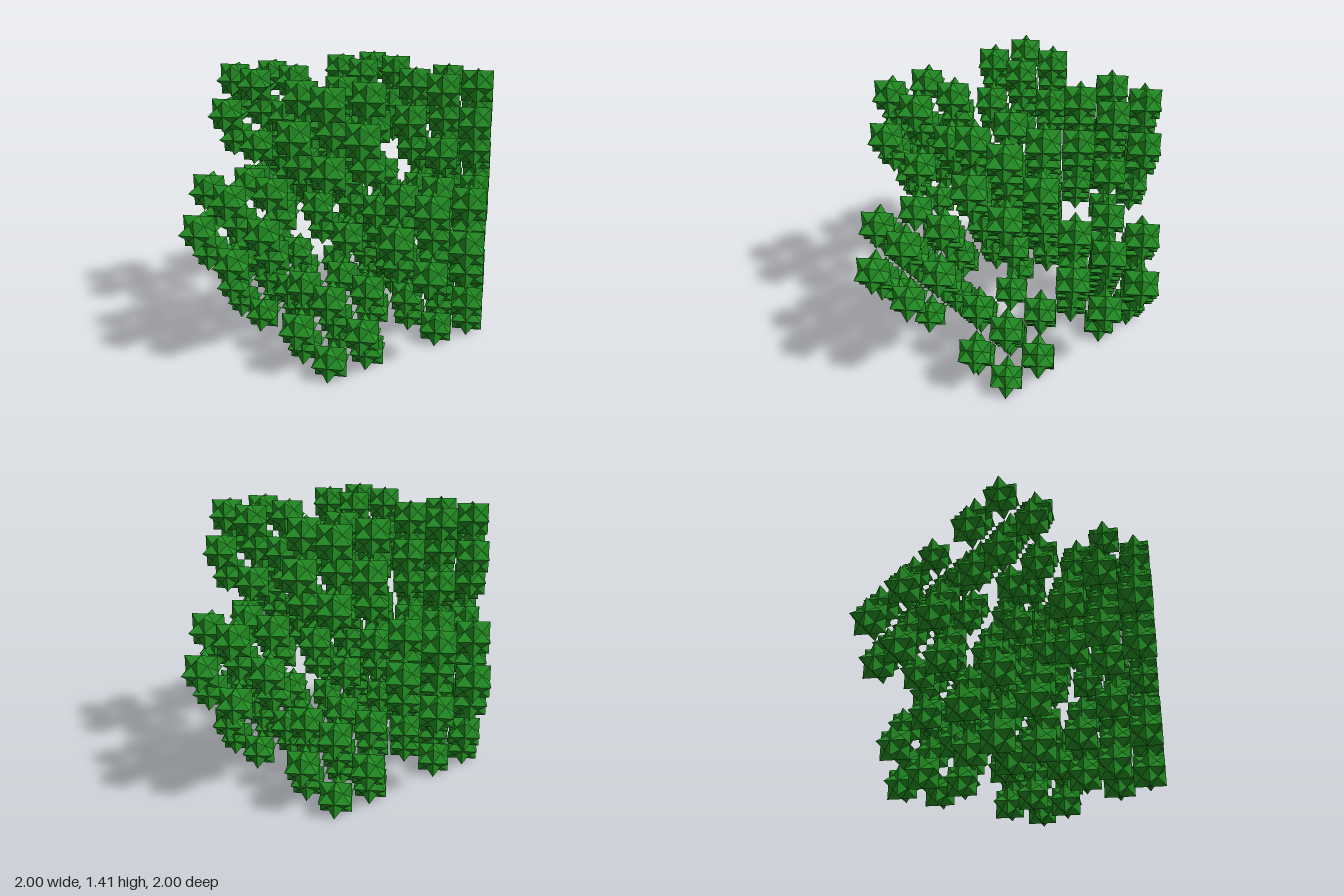
import * as THREE from 'three';

const SIGNS = [1, -1];
const AXES = [0, 1, 2];

// Point in the unit cube frame -> cuboctahedron of radius 1 with a vertex on +x
function place(p) {
  return new THREE.Vector3(...p).multiplyScalar(Math.SQRT1_2)
    .applyAxisAngle(new THREE.Vector3(0, 1, 0), Math.PI / 4);
}

// Cell: three crossed square bipyramids; 48 triangles, one rule per axis order and octant
function cellGeometry() {
  const pos = [];
  for (const a of AXES) for (const b of AXES) {
    if (a === b) continue;
    for (const sx of SIGNS) for (const sy of SIGNS) for (const sz of SIGNS) {
      const s = [sx, sy, sz];
      const apex = [0, 0, 0], tip = [0, 0, 0];
      apex[a] = tip[a] = s[a];
      tip[b] = s[b];
      const pit = s.map(v => v / 2);
      let [p, q, r] = [apex, tip, pit].map(place);
      const normal = q.clone().sub(p).cross(r.clone().sub(p));
      if (normal.dot(p) < 0) [q, r] = [r, q]; // keep faces outward
      for (const v of [p, q, r]) pos.push(v.x, v.y, v.z);
    }
  }
  const geo = new THREE.BufferGeometry();
  geo.setAttribute('position', new THREE.Float32BufferAttribute(pos, 3));
  geo.computeVertexNormals();
  return geo;
}

// Centre plus the 12 cuboctahedron corners
function childCentres() {
  const list = [new THREE.Vector3()];
  for (const a of AXES) for (const s of SIGNS) for (const t of SIGNS) {
    const p = [0, 0, 0];
    p[a] = s;
    p[(a + 1) % 3] = t;
    list.push(place(p));
  }
  return list;
}

export function createModel() {
  const geometry = cellGeometry();
  const material = new THREE.MeshStandardMaterial({ color: 0x228b22, flatShading: true });
  const centres = childCentres();

  // Each level holds 13 copies of the level below at one third size
  function build(level) {
    if (level === 0) {
      const cell = new THREE.Mesh(geometry, material);
      cell.name = 'cell';
      return cell;
    }
    const group = new THREE.Group();
    group.name = level === 1 ? 'cluster' : 'fractal';
    for (const c of centres) {
      const child = build(level - 1);
      child.scale.setScalar(1 / 3);
      child.position.copy(c).multiplyScalar(2 / 3);
      group.add(child);
    }
    return group;
  }

  const model = new THREE.Group();
  model.name = 'cuboctahedronFractal';
  const fractal = build(2);
  fractal.position.y = Math.SQRT1_2;
  model.add(fractal);
  return model;
}
